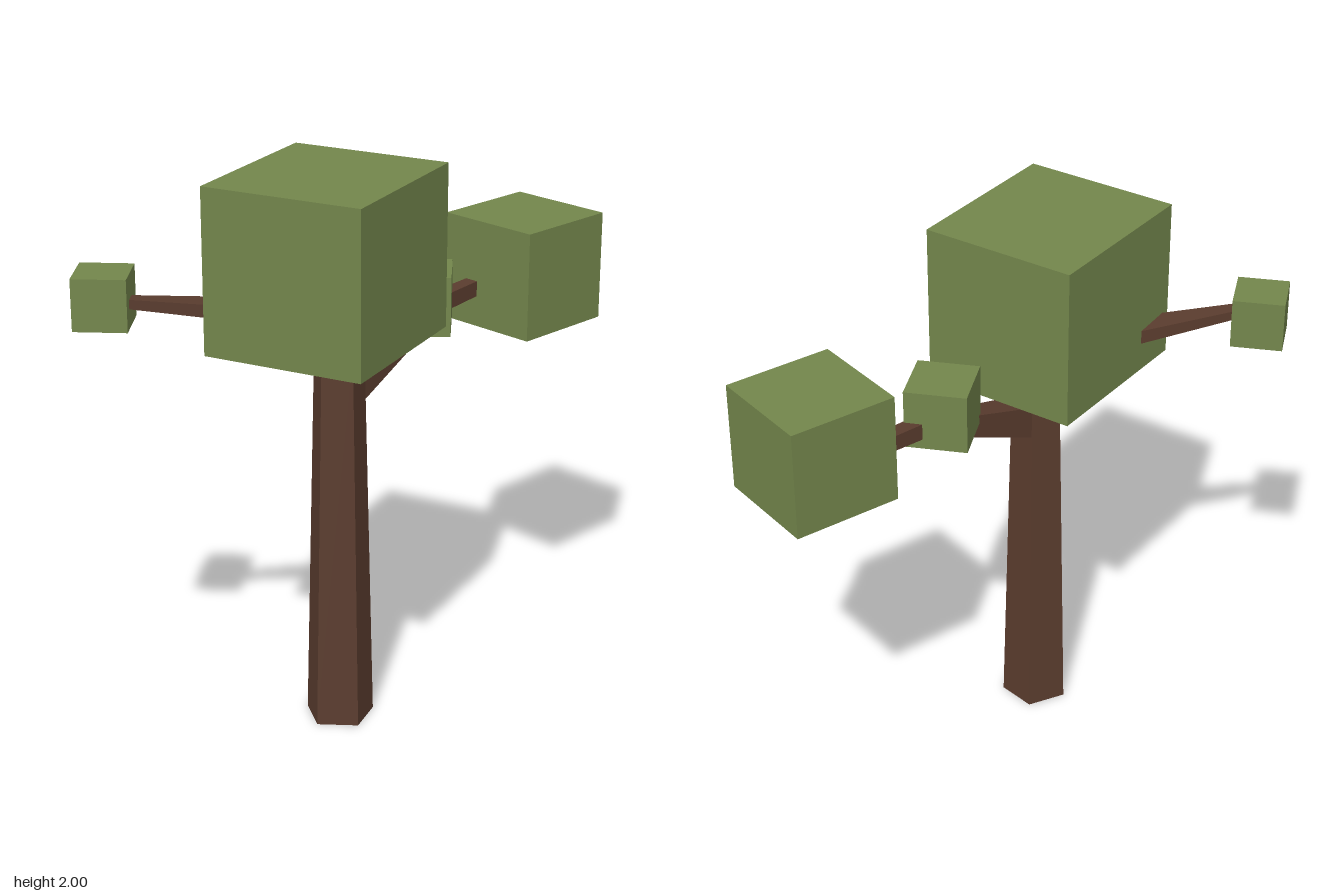
import * as THREE from 'three';

const leaf = new THREE.MeshStandardMaterial({ color: 0x73864c });
leaf.name = 'leaf green';
const bark = new THREE.MeshStandardMaterial({ color: 0x5a3c2e });
bark.name = 'bark brown';

// trunk axis
const AX = -0.03, AZ = 0.264;

function add(group, name, geometry, material, x = 0, y = 0, z = 0, turn = 0) {
  const mesh = new THREE.Mesh(geometry, material);
  mesh.name = name;
  mesh.position.set(x, y, z);
  mesh.rotation.y = turn;
  group.add(mesh);
}

// five-sided trunk section with a flat face to the front
function pentagon(rTop, rBottom, height) {
  return new THREE.CylinderGeometry(rTop, rBottom, height, 5, 1, false, Math.PI).toNonIndexed();
}

// square-section limb leaving the trunk axis along (dx, dz)
// each ring: [distance, bottom y, top y, half width]
function limb(dx, dz, rings) {
  const loops = rings.map(([t, y0, y1, w]) =>
    [[-w, y0], [w, y0], [w, y1], [-w, y1]].map(([s, y]) =>
      [AX + dx * t + dz * s, y, AZ + dz * t - dx * s]));
  const points = [];
  const quad = (a, b, c, d) => points.push(...a, ...b, ...c, ...a, ...c, ...d);
  for (let r = 0; r < loops.length - 1; r++) {
    const a = loops[r], b = loops[r + 1];
    for (let i = 0; i < 4; i++) {
      const j = (i + 1) % 4;
      quad(a[i], a[j], b[j], b[i]);
    }
  }
  quad(...loops[loops.length - 1]);
  quad(...[...loops[0]].reverse());
  const geometry = new THREE.BufferGeometry();
  geometry.setAttribute('position', new THREE.Float32BufferAttribute(points, 3));
  geometry.computeVertexNormals();
  return geometry;
}

export function createModel() {
  const tree = new THREE.Group();
  tree.name = 'tree';

  // trunk and its tapered top
  const parts = [['trunk', 0.09, 0.124, 0, 1.38], ['trunkTop', 0.04, 0.09, 1.38, 1.47]];
  for (const [name, rTop, rBottom, y0, y1] of parts) {
    const geometry = pentagon(rTop, rBottom, y1 - y0);
    geometry.computeVertexNormals();
    add(tree, name, geometry, bark, AX, (y0 + y1) / 2, AZ);
  }

  // branches grow straight out of two trunk faces
  add(tree, 'leftBranch', limb(0.588, -0.809, [
    [0.06, 1.185, 1.31, 0.054], [0.544, 1.38, 1.44, 0.03], [0.8, 1.39, 1.445, 0.025],
  ]), bark);
  add(tree, 'rightBranch', limb(-0.951, 0.309, [
    [0.06, 1.375, 1.46, 0.053], [0.36, 1.53, 1.58, 0.055], [0.76, 1.6, 1.63, 0.022],
  ]), bark);

  // foliage blocks: name, size, centre, turn
  const blocks = [
    ['crown', [0.578, 0.575, 0.636], [-0.065, 1.7125, 0.305], -0.415],
    ['leftFoliage', [0.397, 0.395, 0.397], [0.595, 1.4725, -0.44], -0.73],
    ['middleFoliage', [0.22, 0.215, 0.22], [0.232, 1.4525, -0.1], 0],
    ['rightFoliage', [0.183, 0.18, 0.183], [-0.787, 1.615, 0.463], 0],
  ];
  for (const [name, size, centre, turn] of blocks)
    add(tree, name, new THREE.BoxGeometry(...size), leaf, ...centre, turn);

  return tree;
}
